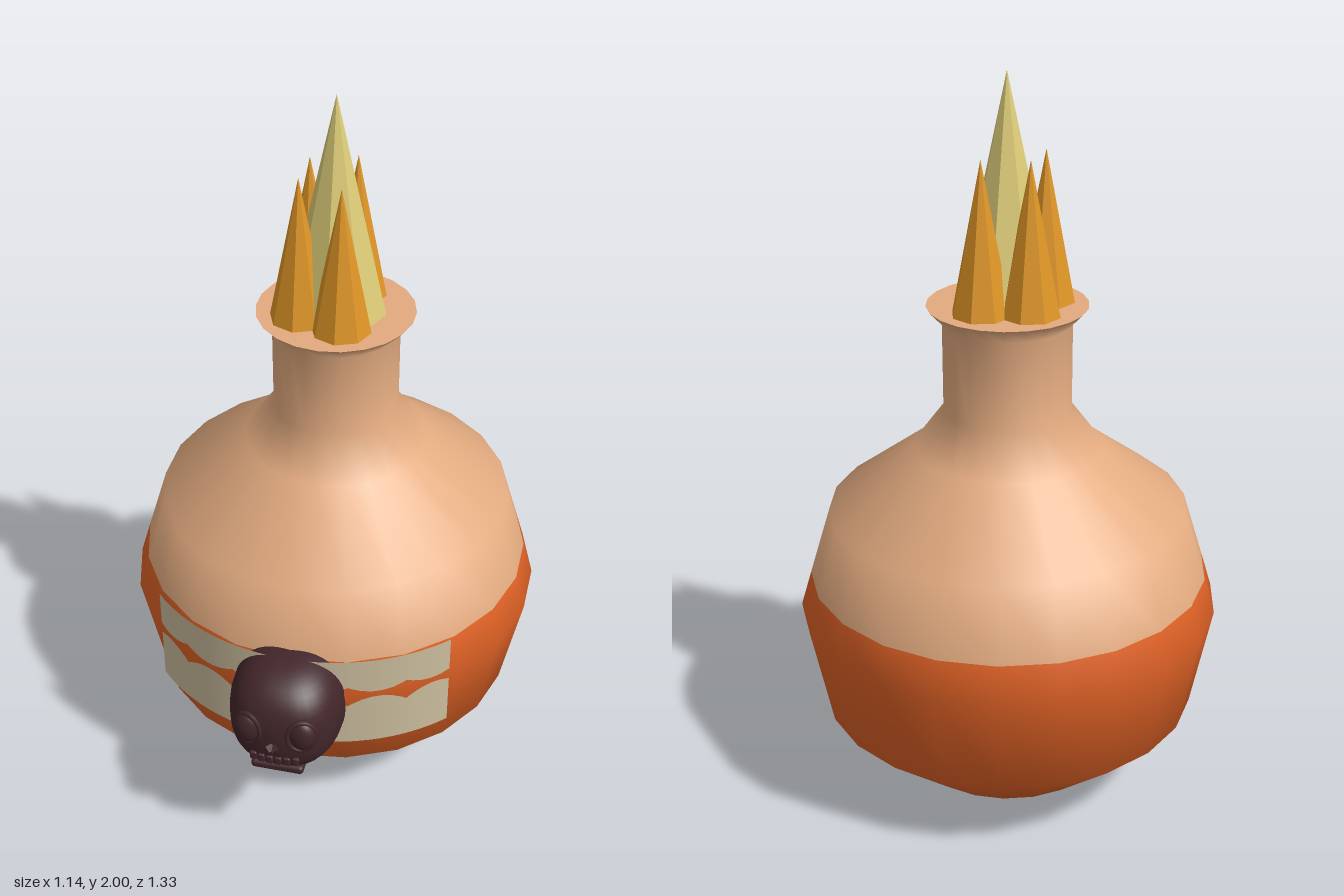
import * as THREE from 'three';
import { RoundedBoxGeometry } from 'three/addons/geometries/RoundedBoxGeometry.js';

const AXIS_Z = -0.088;
const SIDES = 22;

function material(name, color, options = {}) {
  const m = new THREE.MeshStandardMaterial({ color, ...options });
  m.name = name;
  return m;
}

function add(parent, name, geometry, mat, x = 0, y = 0, z = 0) {
  const mesh = new THREE.Mesh(geometry, mat);
  mesh.name = name;
  mesh.position.set(x, y, z);
  parent.add(mesh);
  return mesh;
}

// Lathe whose faces below a height use material 0 and the rest material 1
function twoToneLathe(profile, splitY) {
  const g = new THREE.LatheGeometry(profile.map(([r, y]) => new THREE.Vector2(r, y)), SIDES);
  const pos = g.attributes.position;
  const lower = [], upper = [];
  for (let i = 0; i < g.index.count; i += 3) {
    const tri = [0, 1, 2].map((k) => g.index.getX(i + k));
    const midY = tri.reduce((s, v) => s + pos.getY(v), 0) / 3;
    (midY < splitY ? lower : upper).push(...tri);
  }
  g.setIndex([...lower, ...upper]);
  g.addGroup(0, lower.length, 0);
  g.addGroup(lower.length, upper.length, 1);
  return g;
}

// Sphere pushed towards a rounded box
function boxySphere(rx, ry, rz, power) {
  const g = new THREE.SphereGeometry(1, 32, 24);
  const p = g.attributes.position;
  const f = (c) => Math.sign(c) * Math.abs(c) ** power;
  for (let i = 0; i < p.count; i++) {
    const y = f(p.getY(i));
    const jaw = y < -0.4 ? 1 + (y + 0.4) * 0.1 : 1;
    p.setXYZ(i, f(p.getX(i)) * rx * jaw, y * ry, f(p.getZ(i)) * rz);
  }
  g.computeVertexNormals();
  return g;
}

export function createModel() {
  const model = new THREE.Group();
  model.name = 'potionBottle';

  const clay = material('tan glass', 0xe3ab80);
  const liquid = material('orange liquid', 0xe06226);
  const paper = material('label paper', 0xcdbf9f, { side: THREE.DoubleSide });
  const amber = material('amber crystal', 0xe09626, { flatShading: true });
  const pale = material('pale crystal', 0xdecd78, { flatShading: true });
  const dark = material('dark skull', 0x42262a);

  const bottle = new THREE.Group();
  bottle.name = 'bottle';
  bottle.position.z = AXIS_Z;
  model.add(bottle);

  // Body, neck and flared lip
  const profile = [
    [0, 0], [0.288, 0.035], [0.52, 0.235], [0.578, 0.525], [0.548, 0.625],
    [0.49, 0.815], [0.255, 0.99], [0.173, 1.1], [0.173, 1.345], [0.215, 1.39],
  ];
  add(bottle, 'body', twoToneLathe(profile, 0.625), [liquid, clay]);
  const top = new THREE.CircleGeometry(0.215, SIDES, Math.PI / 2).rotateX(-Math.PI / 2);
  add(bottle, 'mouth', top, clay, 0, 1.39, 0);

  // Crystal stopper: one tall spike with four around it
  const spike = (name, r, tip, mat, x, z) => {
    const h = tip - 1.385;
    add(bottle, name, new THREE.ConeGeometry(r, h, 8), mat, x, 1.385 + h / 2, z);
  };
  spike('centreCrystal', 0.137, 2, pale, 0, 0);
  for (const s of [-1, 1]) {
    spike('leftCrystal', 0.082, 1.795, amber, 0.036, s * 0.098);
    spike('rightCrystal', 0.082, 1.795, amber, -0.084, s * 0.062);
  }

  // Curved label; the widest edge of the body shows through its middle
  const arc = THREE.MathUtils.degToRad(92);
  add(bottle, 'label',
    new THREE.CylinderGeometry(0.57, 0.57, 0.295, 32, 1, true, -arc / 2, arc), paper, 0, 0.4975, 0);

  // Skull ornament
  const skull = new THREE.Group();
  skull.name = 'skull';
  model.add(skull);
  add(skull, 'cranium', boxySphere(0.155, 0.163, 0.18, 0.8), dark, 0, 0.488, 0.46);
  for (const s of [-1, 1]) {
    add(skull, 'eye', new THREE.SphereGeometry(1, 20, 14).scale(0.038, 0.05, 0.027), dark, s * 0.073, 0.515, 0.619);
    const rim = add(skull, 'eyeRim', new THREE.TorusGeometry(0.038, 0.006, 8, 24).scale(1, 1.3, 1), dark, s * 0.073, 0.515, 0.626);
    rim.rotation.y = s * 0.3;
    const nostril = add(skull, 'nose', new THREE.ConeGeometry(0.014, 0.045, 4), dark, s * 0.01, 0.46, 0.647);
    nostril.rotation.set(0.25, 0, Math.PI + s * 0.25);
  }
  for (let i = 0; i < 6; i++) {
    const x = (i - 2.5) * 0.023;
    add(skull, 'tooth', new RoundedBoxGeometry(0.019, 0.026, 0.03, 2, 0.005), dark, x, 0.423, 0.628 - x * x * 2);
  }
  add(skull, 'jaw', new RoundedBoxGeometry(0.145, 0.026, 0.05, 2, 0.011), dark, 0, 0.365, 0.588);

  return model;
}
